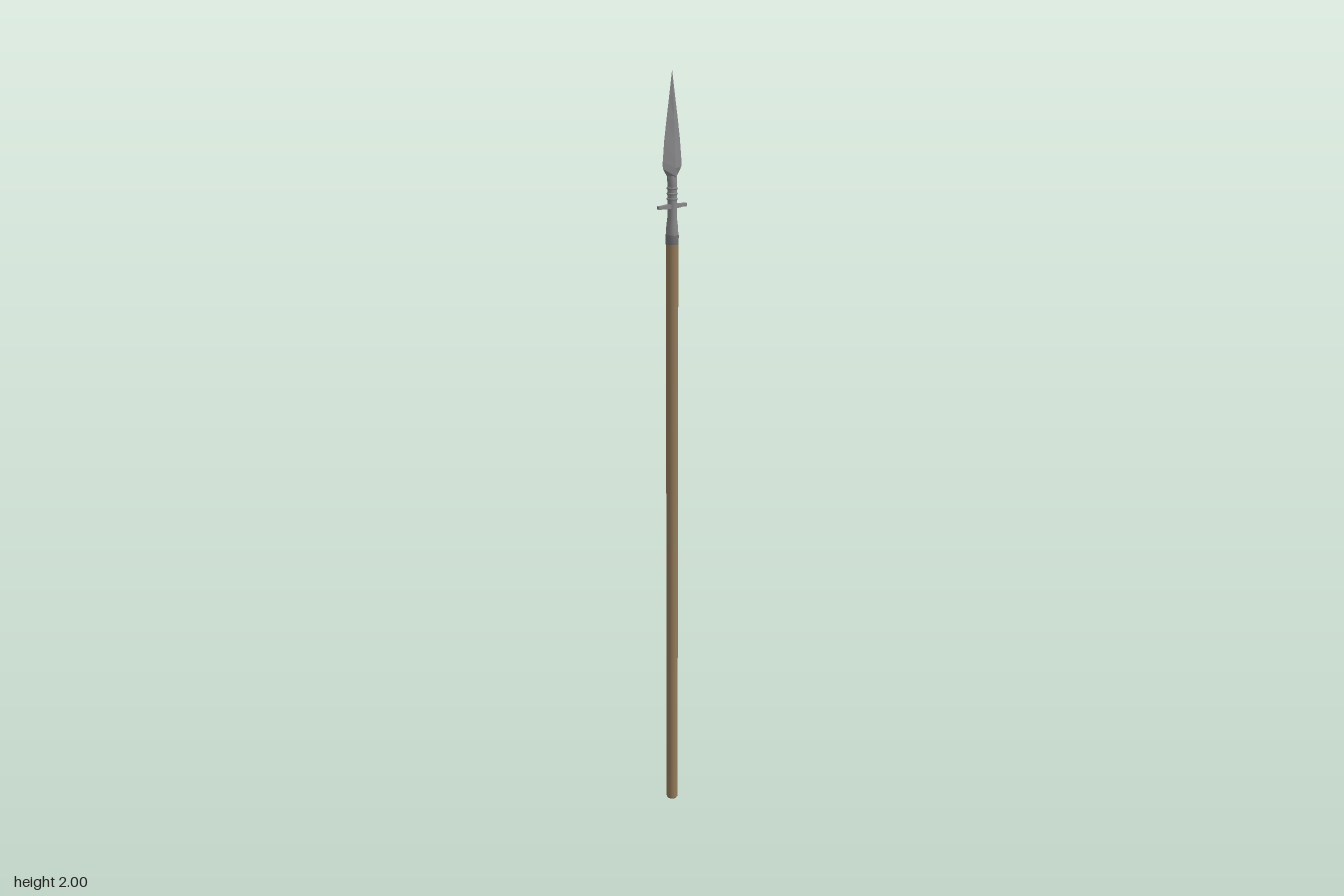
import * as THREE from 'three';

const wood = new THREE.MeshStandardMaterial({ name: 'wood', color: 0x967c5c });
const steel = new THREE.MeshStandardMaterial({ name: 'steel', color: 0x88888a });
const darkSteel = new THREE.MeshStandardMaterial({ name: 'dark steel', color: 0x737377 });

// Round part from [radius, y] pairs, bottom to top
function turned(profile, sides = 16) {
  return new THREE.LatheGeometry(profile.map(([r, y]) => new THREE.Vector2(r, y)), sides);
}

// Faceted loft of sections [y, radiusX, radiusZ], bottom to top
function loft(sections, sides, phiStart = 0) {
  const rows = sections.map((s, i) => new THREE.Vector2(1, i));
  const g = new THREE.LatheGeometry(rows, sides, phiStart);
  const p = g.attributes.position;
  for (let i = 0; i < p.count; i++) {
    const [y, rx, rz] = sections[Math.round(p.getY(i))];
    p.setXYZ(i, p.getX(i) * rx, y, p.getZ(i) * rz);
  }
  const flat = g.toNonIndexed();
  flat.computeVertexNormals();
  return flat;
}

export function createModel() {
  const spear = new THREE.Group();
  spear.name = 'spear';
  const add = (name, geometry, material) => {
    const mesh = new THREE.Mesh(geometry, material);
    mesh.name = name;
    spear.add(mesh);
    return mesh;
  };

  // Long pole with a small bevel at the foot
  add('shaftFoot', turned([[0, 0], [0.014, 0], [0.0155, 0.003]]), wood);
  add('shaft', turned([[0.0155, 0.003], [0.0155, 1.585]]), wood);

  // Socket flaring down over the pole
  add('socketBand', turned([[0.0145, 1.58], [0.0165, 1.58], [0.0165, 1.603], [0.015, 1.606]]), darkSteel);
  add('socket', turned([[0.0155, 1.604], [0.0145, 1.625], [0.012, 1.645], [0.0115, 1.69],
    [0.0115, 1.725], [0.0125, 1.745], [0.006, 1.775]]), steel);

  // Raised neck rings
  for (const y of [1.692, 1.705, 1.718]) {
    const ring = add('neckRing', new THREE.TorusGeometry(0.0112, 0.003, 6, 16), steel);
    ring.rotation.x = Math.PI / 2;
    ring.position.y = y;
  }

  // Square-sided crossguard lugs, mirrored front and back
  for (const side of [1, -1]) {
    const lug = add('crossguardLug', loft([[0, 0.0105, 0.009], [0.018, 0.009, 0.007],
      [0.036, 0.0065, 0.0055], [0.043, 0.0075, 0.0065], [0.047, 0.006, 0.005], [0.047, 0, 0]],
    4, Math.PI / 4), steel);
    lug.rotation.x = side * Math.PI / 2;
    lug.position.y = 1.674;
  }

  // Leaf blade with a central ridge, edges along z
  add('blade', loft([[1.725, 0, 0], [1.728, 0.01, 0.009], [1.748, 0.0135, 0.017],
    [1.768, 0.0135, 0.031], [1.785, 0.0125, 0.031], [1.835, 0.0095, 0.026],
    [1.885, 0.0075, 0.0185], [1.94, 0.005, 0.0095], [2, 0, 0]], 4), steel);

  return spear;
}
